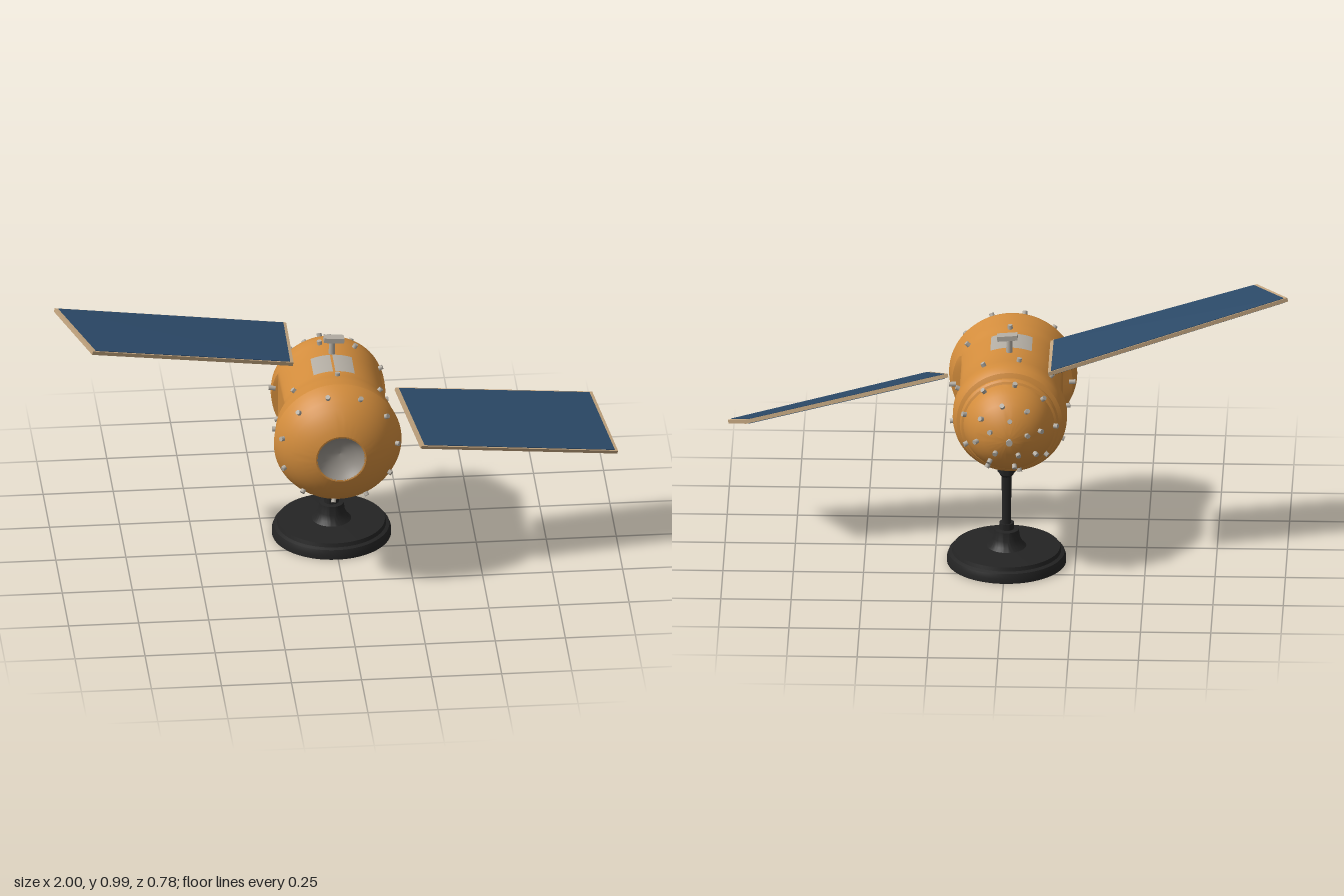
import * as THREE from 'three';
import { toCreasedNormals } from 'three/addons/utils/BufferGeometryUtils.js';

const V = (x, y, z) => new THREE.Vector3(x, y, z);
const mat = (name, color, side = THREE.FrontSide) => {
  const m = new THREE.MeshStandardMaterial({ color, side });
  m.name = name;
  return m;
};

export function createModel() {
  const orange = mat('orange hull', 0xd28c3c);
  const blue = mat('solar blue', 0x2c4a69);
  const tan = mat('frame tan', 0xc4a680);
  const grey = mat('light grey fittings', 0xb4aea4, THREE.DoubleSide);
  const dishGrey = mat('dish grey', 0x96918a, THREE.DoubleSide);
  const black = mat('stand black', 0x242424);

  const root = new THREE.Group();
  const add = (parent, name, geo, material, x = 0, y = 0, z = 0) => {
    const m = new THREE.Mesh(geo, material);
    m.name = name;
    m.position.set(x, y, z);
    parent.add(m);
    return m;
  };
  const lathe = (pts, seg = 64) =>
    new THREE.LatheGeometry(pts.map(p => new THREE.Vector2(p[0], p[1])), seg);

  // Hull group: its axis runs along z
  const craft = new THREE.Group();
  craft.name = 'craft';
  craft.position.set(-0.017, 0.565, 0);
  root.add(craft);

  // Main hull with flattened sides between the two rims
  const hullGeo = lathe([
    [0, -0.205], [0.15, -0.205], [0.168, -0.198], [0.188, -0.188], [0.2, -0.17],
    [0.203, -0.15], [0.203, -0.112], [0.202, -0.108], [0.203, -0.02], [0.205, 0.06],
    [0.207, 0.12], [0.21, 0.15], [0.214, 0.162], [0.217, 0.19], [0.224, 0.225],
    [0.228, 0.25], [0.222, 0.268], [0.212, 0.29], [0.197, 0.315], [0.175, 0.34],
    [0.145, 0.364], [0.112, 0.382], [0.09, 0.39], [0.084, 0.389]], 96).rotateX(Math.PI / 2);
  const p = hullGeo.attributes.position;
  for (let i = 0; i < p.count; i++) {
    const z = p.getZ(i);
    if (z > -0.11 && z < 0.155) p.setX(i, THREE.MathUtils.clamp(p.getX(i), -0.18, 0.18));
  }
  add(craft, 'hull', toCreasedNormals(hullGeo, 0.45), orange);

  // Rear dome with its flange
  add(craft, 'rearDome', toCreasedNormals(lathe([
    [0, -0.362], [0.03, -0.36], [0.058, -0.35], [0.09, -0.335], [0.12, -0.31],
    [0.142, -0.28], [0.157, -0.25], [0.162, -0.228], [0.17, -0.224], [0.176, -0.216],
    [0.176, -0.207], [0.168, -0.202], [0, -0.202]]).rotateX(Math.PI / 2), 0.45), orange);

  // Recessed dish in the nose
  add(craft, 'noseDish', lathe([
    [0, 0.345], [0.03, 0.349], [0.058, 0.362], [0.077, 0.378], [0.086, 0.39]], 40)
    .rotateX(Math.PI / 2), dishGrey);

  // Studs in rings, each pointing away from the hull
  const studGeo = new THREE.CylinderGeometry(0.009, 0.009, 0.024, 8);
  const rings = [
    // z, radius, count, tilt along z, first angle
    [0.305, 0.205, 11, 0.6, 0.05], [0.155, 0.213, 8, 0, 0.75], [-0.112, 0.204, 10, 0, 0.47],
    [-0.24, 0.163, 9, -0.4, 0.3], [-0.318, 0.115, 8, -0.8, 0.6], [-0.346, 0.068, 5, -1.1, 0.4]];
  for (const [z, r, n, tilt, a0] of rings)
    for (let i = 0; i < n; i++) {
      const a = a0 + i * Math.PI * 2 / n;
      const dir = V(Math.cos(a) * Math.cos(tilt), Math.sin(a) * Math.cos(tilt), Math.sin(tilt));
      add(craft, 'stud', studGeo, grey, Math.cos(a) * r, Math.sin(a) * r, z)
        .quaternion.setFromUnitVectors(V(0, 1, 0), dir);
    }

  // Tail probe
  add(craft, 'tailRod', new THREE.CylinderGeometry(0.006, 0.006, 0.035, 10).rotateX(Math.PI / 2), grey, -0.005, 0.003, -0.372);
  add(craft, 'tailCap', new THREE.CylinderGeometry(0.012, 0.012, 0.008, 12).rotateX(Math.PI / 2), grey, -0.005, 0.003, -0.386);

  // Curved roof plates on either side of a narrow gap
  for (const s of [-1, 1])
    add(craft, 'roofPlate', new THREE.CylinderGeometry(0.209, 0.209, 0.125, 10, 1, true,
      Math.PI + s * 0.19 - 0.17, 0.34).rotateX(Math.PI / 2), grey, 0, 0, 0.052);

  // Roof antenna
  add(craft, 'antennaStem', new THREE.CylinderGeometry(0.01, 0.012, 0.06, 12), grey, 0.005, 0.225, -0.033);
  add(craft, 'antennaHead', new THREE.BoxGeometry(0.072, 0.018, 0.034), grey, 0.012, 0.26, -0.033).rotation.z = -0.08;

  // Slab between four top corners (counter-clockwise from above)
  const slab = (c, down, thick, inset) => {
    const n = V().crossVectors(c[2].clone().sub(c[0]), c[3].clone().sub(c[1])).normalize();
    const mid = c.reduce((s, v) => s.add(v), V()).multiplyScalar(0.25);
    const top = c.map(v => v.clone()
      .addScaledVector(mid.clone().sub(v).normalize(), inset).addScaledVector(n, -down));
    const bot = top.map(v => v.clone().addScaledVector(n, -thick));
    const pos = [];
    const quad = (a, b, d, e) => [a, b, d, a, d, e].forEach(v => pos.push(v.x, v.y, v.z));
    quad(...top);
    quad(bot[3], bot[2], bot[1], bot[0]);
    for (let i = 0; i < 4; i++) {
      const j = (i + 1) % 4;
      quad(top[i], bot[i], bot[j], top[j]);
    }
    const g = new THREE.BufferGeometry();
    g.setAttribute('position', new THREE.Float32BufferAttribute(pos, 3));
    g.computeVertexNormals();
    return g;
  };
  const wing = (name, corners) => {
    const g = new THREE.Group();
    g.name = name;
    add(g, 'wingFrame', slab(corners, 0.002, 0.014, 0), tan);
    add(g, 'wingCellsTop', slab(corners, 0, 0.004, 0.013), blue);
    add(g, 'wingCellsBottom', slab(corners, 0.014, 0.004, 0.013), blue);
    root.add(g);
  };
  wing('leftSolarWing', [V(0.21, 0.655, 0.03), V(0.28, 0.55, 0.285), V(0.995, 0.418, 0.138), V(0.925, 0.528, -0.113)]);
  wing('rightSolarWing', [V(-1, 0.995, -0.04), V(-0.885, 0.942, 0.2), V(-0.155, 0.78, 0.045), V(-0.155, 0.786, -0.25)]);

  // Display stand: foot, flared socket and post
  add(root, 'standFoot', toCreasedNormals(lathe([
    [0, 0], [0.212, 0], [0.212, 0.018], [0.206, 0.035], [0.194, 0.04], [0.19, 0.054],
    [0.07, 0.058], [0.058, 0.07], [0.048, 0.09], [0.043, 0.122], [0.026, 0.124],
    [0.026, 0.148], [0, 0.148]]), 0.5), black, -0.005, 0, -0.125);
  add(root, 'standPost', toCreasedNormals(lathe([
    [0, 0.14], [0.015, 0.14], [0.018, 0.33], [0.026, 0.34], [0.026, 0.348], [0.033, 0.35],
    [0.033, 0.378], [0, 0.378]], 32), 0.5), black, -0.005, 0, -0.132);

  return root;
}
